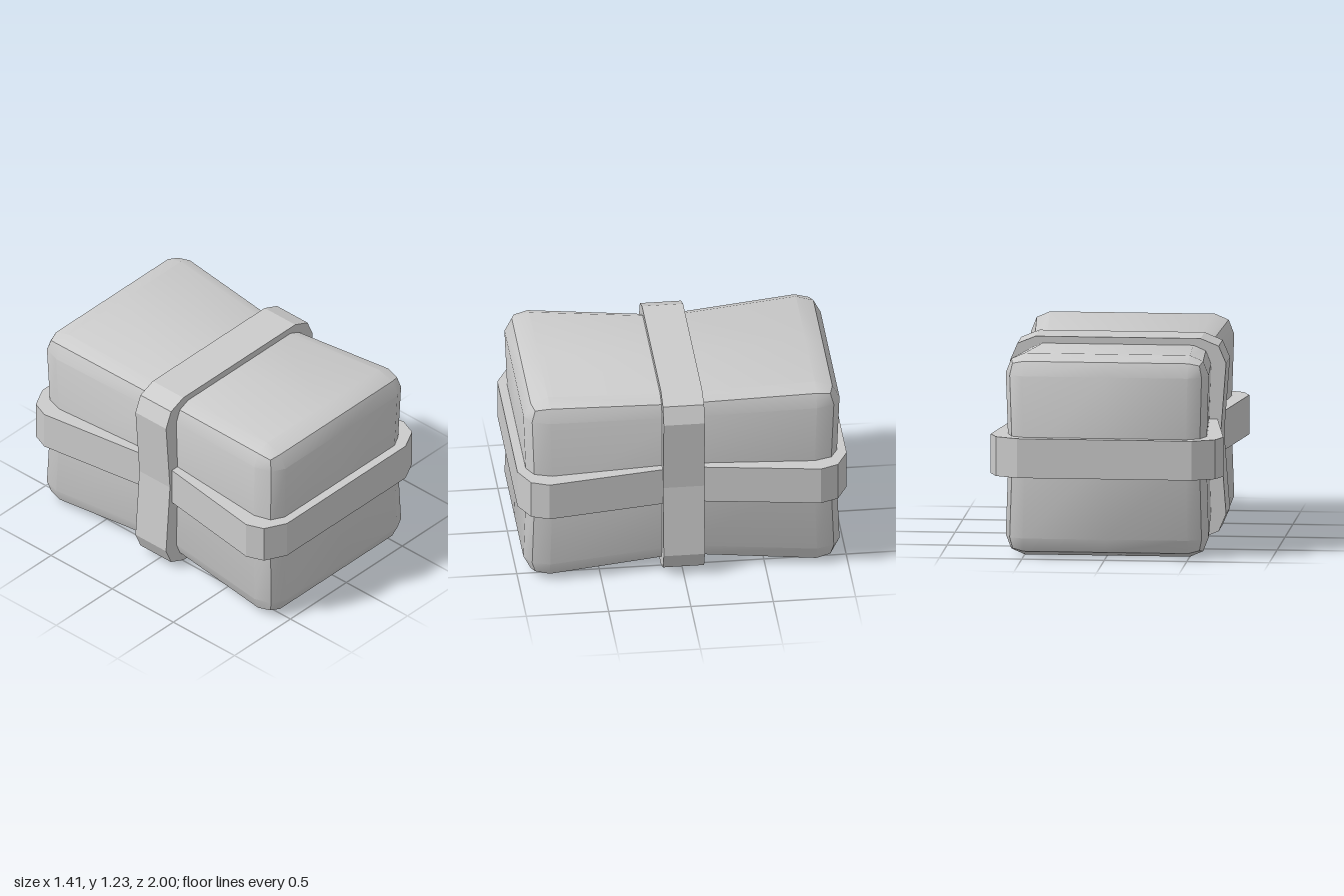
import * as THREE from 'three';
import { toCreasedNormals } from 'three/addons/utils/BufferGeometryUtils.js';

const MID = 0.615; // height of the centre line
const material = new THREE.MeshStandardMaterial({ color: 0xcccccc });

// Bevelled box (two-step bevel) pinched at its middle loops
function bodyGeometry() {
  const core = new THREE.Vector3(0.5, 0.495, 0.81);
  const radius = new THREE.Vector3(0.115, 0.12, 0.15);
  const geometry = new THREE.BoxGeometry(4, 4, 4, 4, 4, 4);
  const pos = geometry.attributes.position;
  const p = new THREE.Vector3();
  for (let i = 0; i < pos.count; i++) {
    p.fromBufferAttribute(pos, i).round();
    const inner = p.clone().clampScalar(-1, 1);
    const bevel = p.clone().sub(inner).normalize().multiply(radius);
    const waist = inner.z === 0 ? 1 : 0;  // loop around the length's middle
    const girth = inner.y === 0 ? 1 : 0;  // loop around mid height
    const q = inner.multiply(core).add(bevel);
    q.x *= (1 - 0.1 * waist) * (1 - 0.025 * girth);
    q.y *= 1 - 0.09 * waist;
    q.z *= 1 - 0.02 * girth;
    pos.setXYZ(i, q.x, q.y, q.z);
  }
  return toCreasedNormals(geometry, THREE.MathUtils.degToRad(30));
}

// Closed strap: a quarter outline mirrored into a ring, then extruded
function bandGeometry(quarter, width) {
  const half = [...quarter, ...quarter.slice(0, -1).reverse().map(([x, v]) => [x, -v])];
  const ring = [...half, ...half.map(([x, v]) => [-x, -v])]
    .map(([x, v]) => new THREE.Vector2(x, v));
  const shape = new THREE.Shape(ring);
  shape.holes.push(new THREE.Path(ring.map((r) => r.clone().multiplyScalar(0.82))));
  const geometry = new THREE.ExtrudeGeometry(shape, { depth: width, bevelEnabled: false });
  return geometry.translate(0, 0, -width / 2);
}

export function createModel() {
  const group = new THREE.Group();
  group.name = 'strappedBundle';
  const add = (name, geometry) => {
    const mesh = new THREE.Mesh(geometry, material);
    mesh.name = name;
    mesh.position.y = MID;
    group.add(mesh);
  };

  add('body', bodyGeometry());

  // Strap around the waist, upright
  add('uprightStrap', bandGeometry(
    [[0.5, 0.61], [0.61, 0.565], [0.655, 0.46], [0.62, 0]], 0.25));

  // Strap around the sides and ends, lying flat
  add('levelStrap', bandGeometry(
    [[0.53, 1], [0.663, 0.932], [0.705, 0.825], [0.585, 0]], 0.24).rotateX(Math.PI / 2));

  return group;
}
